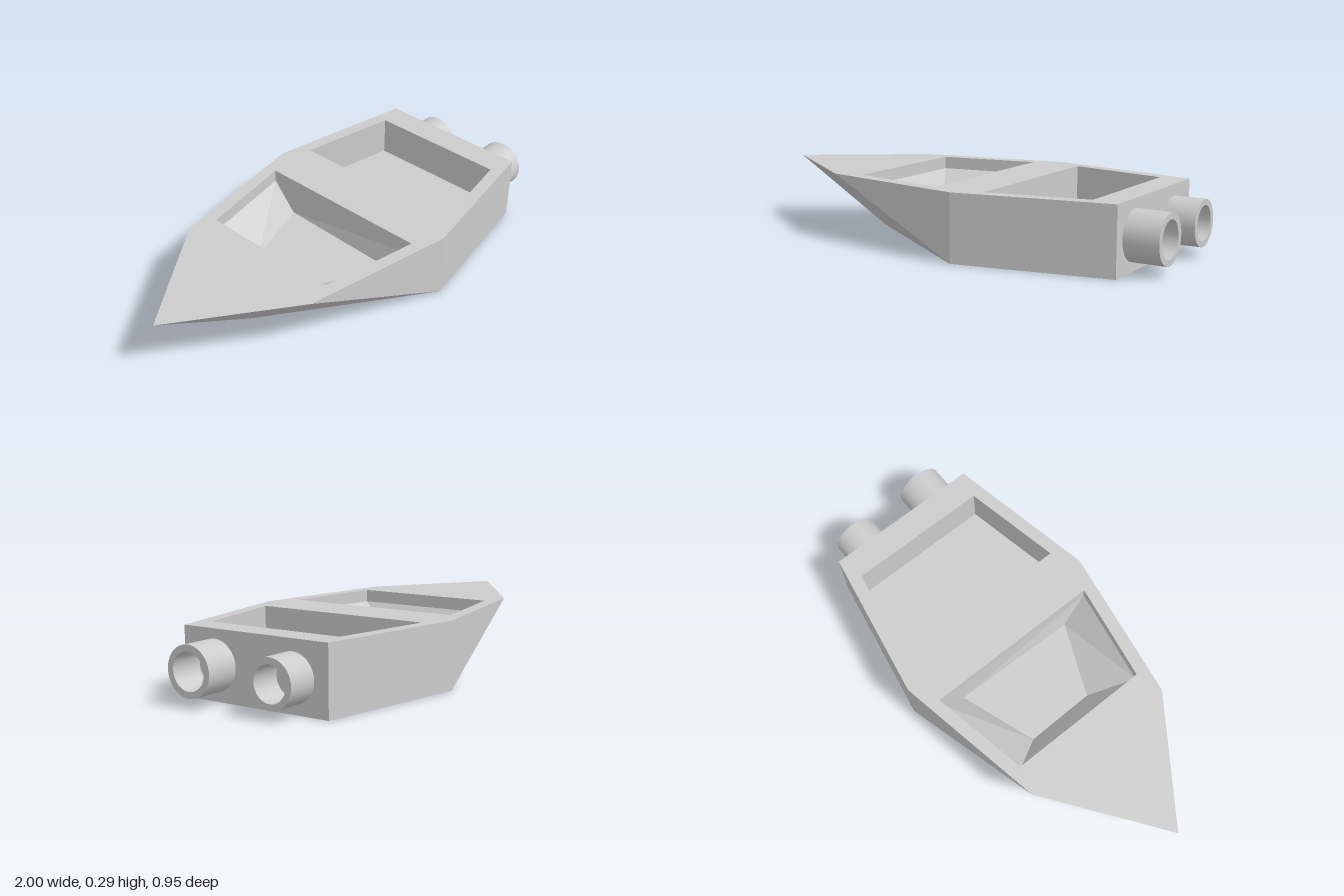
import * as THREE from 'three';

const material = new THREE.MeshStandardMaterial({ color: 0xcccccc, flatShading: true });
const smooth = new THREE.MeshStandardMaterial({ color: 0xcccccc });
const DECK = 0.29;

// Places a list of [x, z] corners at height y.
const ring = (corners, y) => corners.map(([x, z]) => new THREE.Vector3(x, y, z));

// Wall of quads from ring a to ring b.
function wall(a, b) {
  const tris = [];
  a.forEach((p, i) => {
    const j = (i + 1) % a.length;
    if (p.distanceTo(a[j]) > 1e-6) tris.push(p, a[j], b[j]);
    if (b[i].distanceTo(b[j]) > 1e-6) tris.push(p, b[j], b[i]);
  });
  return tris;
}

// Flat cap over a convex ring.
function cap(r) {
  const tris = [];
  for (let i = 1; i < r.length - 1; i++) tris.push(r[0], r[i], r[i + 1]);
  return tris;
}

function addMesh(group, name, geometry, mat = material) {
  const mesh = new THREE.Mesh(geometry, mat);
  mesh.name = name;
  group.add(mesh);
  return mesh;
}

function addFacets(group, name, points) {
  const geometry = new THREE.BufferGeometry().setFromPoints(points);
  geometry.computeVertexNormals();
  addMesh(group, name, geometry);
}

export function createModel() {
  const group = new THREE.Group();
  group.name = 'boat';

  // Outlines run along the +z side to the stern and back along the -z side
  const outline = [[-1, 0], [-0.5, 0.357], [0.18, 0.476], [0.85, 0.35],
    [0.85, -0.35], [0.18, -0.476], [-0.5, -0.357]];
  const keel = [[-0.5, 0], [0.18, 0.476], [0.18, 0.476], [0.85, 0.35],
    [0.85, -0.35], [0.18, -0.476], [0.18, -0.476]];
  const cockpitRim = [[-0.38, 0.32], [0.06, 0.4], [0.06, -0.4], [-0.38, -0.32]];
  const cockpitFloor = [[-0.28, 0.14], [0.04, 0.28], [0.055, -0.285], [-0.285, -0.17]];
  const holdRim = [[0.29, 0.4], [0.73, 0.315], [0.73, -0.315], [0.29, -0.4]];

  // Hull sides with raked bow, and flat bottom
  const bottom = ring(keel, 0);
  const flatBottom = [0, 1, 3, 4, 5].map((i) => bottom[i]).reverse();
  addFacets(group, 'hull', [...wall(bottom, ring(outline, DECK)), ...cap(flatBottom)]);

  // Deck with two openings
  const to2D = (corners) => corners.map(([x, z]) => new THREE.Vector2(x, -z));
  const deck = new THREE.Shape(to2D(outline));
  deck.holes = [cockpitRim, holdRim].map((rim) => new THREE.Path(to2D(rim)));
  const deckMesh = addMesh(group, 'deck', new THREE.ShapeGeometry(deck));
  deckMesh.rotation.x = -Math.PI / 2;
  deckMesh.position.y = DECK;

  // Cockpit: short upright lip, then sloping sides to the floor
  const lip = ring(cockpitRim, 0.235);
  const floor = ring(cockpitFloor, 0.115);
  addFacets(group, 'cockpit',
    [...wall(ring(cockpitRim, DECK), lip), ...wall(lip, floor), ...cap(floor)]);

  // Rear hold with upright sides
  const holdFloor = ring(holdRim, 0.115);
  addFacets(group, 'rearHold', [...wall(ring(holdRim, DECK), holdFloor), ...cap(holdFloor)]);

  // Two hollow thruster tubes on the stern
  const thrusters = [['leftThruster', 0.195, 0.145, 0.105, 0.078, 1],
    ['rightThruster', -0.185, 0.141, 0.1, 0.074, 0.985]];
  for (const [name, z, y, outer, inner, end] of thrusters) {
    const thruster = new THREE.Group();
    thruster.name = name;
    const length = end - 0.85;
    // Separate profile strips keep the rim edges sharp
    const strips = { shell: [[outer, 0], [outer, length]],
      rim: [[outer, length], [inner, length]],
      bore: [[inner, length], [inner, 0.001]] };
    for (const [part, profile] of Object.entries(strips)) {
      const points = profile.map(([r, h]) => new THREE.Vector2(r, h));
      addMesh(thruster, part, new THREE.LatheGeometry(points, 40), smooth);
    }
    thruster.rotation.z = -Math.PI / 2;
    thruster.position.set(0.85, y, z);
    group.add(thruster);
  }
  return group;
}
